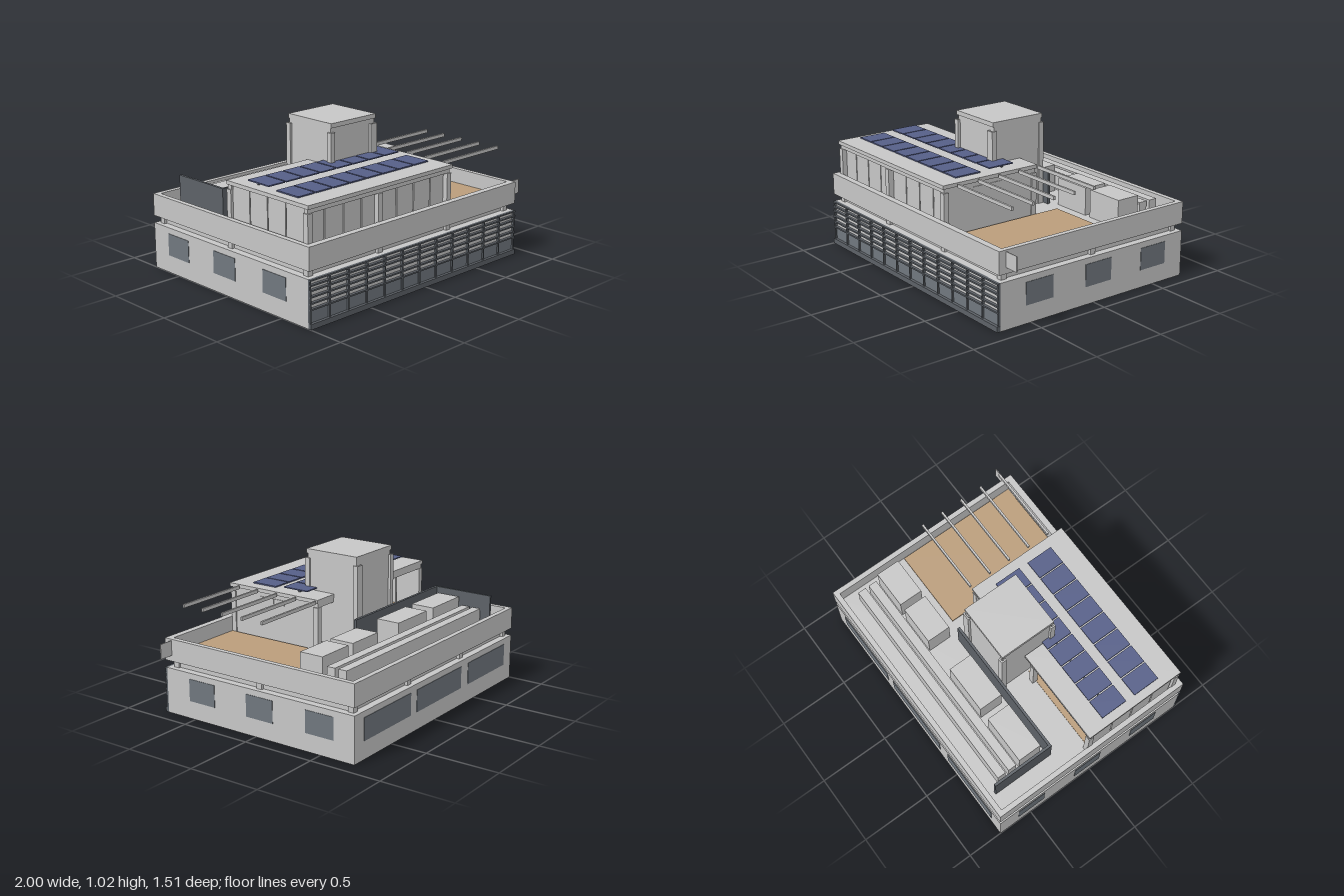
import * as THREE from 'three';

export function createModel() {
  const model = new THREE.Group();
  model.name = 'building';

  const mat = (name, color) => {
    const m = new THREE.MeshStandardMaterial({ color });
    m.name = name;
    return m;
  };
  const concrete = mat('concrete', 0xc6c6c6);
  const timber = mat('timber', 0xba9d7b);
  const solar = mat('solar blue', 0x565f88);
  const glass = mat('glass', 0x70777e);
  const metal = mat('dark metal', 0x5c6167);

  // Box given by its limits on each axis
  const box = (name, material, x0, x1, y0, y1, z0, z1) => {
    const mesh = new THREE.Mesh(new THREE.BoxGeometry(x1 - x0, y1 - y0, z1 - z0), material);
    mesh.position.set((x0 + x1) / 2, (y0 + y1) / 2, (z0 + z1) / 2);
    mesh.name = name;
    model.add(mesh);
    return mesh;
  };

  // Upright rectangular ring: outer and hole are [x0, x1, z0, z1]
  const trace = (path, [x0, x1, z0, z1]) => {
    path.moveTo(x0, -z1);
    path.lineTo(x1, -z1);
    path.lineTo(x1, -z0);
    path.lineTo(x0, -z0);
    path.closePath();
    return path;
  };
  const ring = (name, material, outer, hole, y0, y1) => {
    const shape = trace(new THREE.Shape(), outer);
    shape.holes.push(trace(new THREE.Path(), hole));
    const geo = new THREE.ExtrudeGeometry(shape, { depth: y1 - y0, bevelEnabled: false });
    geo.rotateX(-Math.PI / 2);
    const mesh = new THREE.Mesh(geo, material);
    mesh.position.y = y0;
    mesh.name = name;
    model.add(mesh);
  };

  // Ground storey, recessed slot, roof deck and parapet around the stair shaft
  const shaft = [-0.265, 0.09, -0.19, 0.165];
  ring('groundStorey', concrete, [-1, 0.9, -0.75, 0.73], shaft, 0, 0.31);
  ring('recessedSlot', concrete, [-0.95, 0.85, -0.7, 0.68], shaft, 0.31, 0.36);
  ring('roofDeck', concrete, [-0.98, 0.88, -0.73, 0.71], shaft, 0.361, 0.4);
  ring('parapet', concrete, [-1, 0.9, -0.75, 0.74], [-0.965, 0.865, -0.715, 0.695], 0.36, 0.51);
  box('parapetFin', concrete, 0.9, 1, 0.4, 0.5, 0.684, 0.69);
  for (const x of [-0.95, -0.365, 0.265, 0.845])
    for (const z of [-0.7, 0.68]) box('slotColumn', concrete, x - 0.02, x + 0.02, 0.31, 0.36, z - 0.02, z + 0.02);
  for (const x of [-0.95, 0.85]) box('slotColumn', concrete, x - 0.02, x + 0.02, 0.31, 0.36, -0.03, 0.01);

  // Side and back windows
  for (const z of [0.435, -0.033, -0.495]) {
    box('sideWindow', glass, 0.896, 0.903, 0.12, 0.27, z - 0.105, z + 0.105);
    box('sideWindow', glass, -1.003, -0.996, 0.12, 0.27, z - 0.105, z + 0.105);
  }
  for (const [x0, x1] of [[-0.9, -0.41], [-0.32, 0.22], [0.29, 0.8]])
    box('backWindow', glass, x0, x1, 0.12, 0.27, -0.753, -0.746);

  // Front screen: glazed base, sill, mullions and rails
  box('frontGlazing', glass, -0.995, 0.895, 0.035, 0.122, 0.73, 0.735);
  box('frontSill', metal, -1, 0.9, 0, 0.035, 0.73, 0.755);
  for (let i = 0; i <= 12; i++) {
    const x = -0.994 + i * 0.1573;
    box('mullion', metal, x - 0.006, x + 0.006, 0.035, 0.31, 0.73, 0.745);
  }
  for (const y of [0.122, 0.16, 0.2, 0.24, 0.272, 0.305])
    box('frontRail', metal, -1, 0.9, y - 0.005, y + 0.005, 0.73, 0.75);

  // Hollow stair tower with corner piers and cap
  ring('tower', concrete, [-0.285, 0.107, -0.205, 0.18], shaft, 0.4, 0.99);
  box('towerCap', concrete, -0.29, 0.11, 0.99, 1.02, -0.21, 0.19);
  for (const [x0, x1] of [[-0.3, -0.265], [0.06, 0.115]])
    for (const [z0, z1] of [[-0.222, -0.185], [0.163, 0.2]])
      ring('towerPier', concrete, [x0, x1, z0, z1], [x0 + 0.01, x1 - 0.01, z0 + 0.01, z1 - 0.01], 0.4, 0.96);
  // Stair flights inside the shaft
  for (let i = 0; i < 8; i++) {
    const z = -0.16 + i * 0.03;
    box('stairStep', concrete, -0.075, 0.085, 0.02 + i * 0.025, 0.04 + i * 0.025, z, z + 0.035);
    box('stairStep', concrete, -0.26, -0.1, 0.42 - i * 0.025, 0.44 - i * 0.025, z, z + 0.035);
  }
  box('stairLanding', concrete, -0.26, 0.085, 0.215, 0.235, 0.08, 0.16);

  // Timber floors
  box('terraceDeck', timber, 0.29, 0.86, 0.4, 0.41, -0.2, 0.69);
  box('pavilionFloor', timber, -0.93, 0.25, 0.4, 0.406, 0.185, 0.65);
  box('pavilionFloor', timber, -0.93, -0.3, 0.4, 0.406, 0, 0.185);

  // Pavilion: front and left panels with gaps, solid right wall, open back
  const px = [-0.935, -0.803, -0.649, -0.495, -0.342, -0.188, -0.034, 0.12, 0.265];
  for (let i = 0; i < 8; i++)
    box('frontPanel', concrete, px[i] + 0.004, px[i + 1] - 0.004, 0.4, 0.69, 0.65, 0.665);
  for (let i = 0; i < 4; i++)
    box('leftPanel', concrete, -0.955, -0.94, 0.4, 0.72, 0.014 + i * 0.162, 0.168 + i * 0.162);
  box('rightWall', concrete, 0.25, 0.275, 0.4, 0.72, 0, 0.665);
  for (const [z0, z1] of [[0.25, 0.335], [0.34, 0.465]])
    box('wallVent', concrete, 0.275, 0.28, 0.653, 0.69, z0, z1);
  for (const x of [-0.95, -0.365, 0.265])
    for (const z of [-0.01, 0.68]) box('pavilionColumn', concrete, x - 0.019, x + 0.019, 0.4, 0.69, z - 0.019, z + 0.019);
  for (const z of [-0.01, 0.675]) box('roofBeam', concrete, -0.96, 0.275, 0.69, 0.72, z - 0.015, z + 0.015);
  box('pavilionRoof', concrete, -0.97, -0.29, 0.72, 0.745, -0.03, 0.705);
  box('pavilionRoof', concrete, -0.29, 0.288, 0.72, 0.745, 0.17, 0.705);
  box('pavilionRoof', concrete, 0.107, 0.288, 0.72, 0.745, -0.03, 0.17);

  // Seats at the open back
  for (let i = 0; i < 4; i++) {
    const x = -0.72 + i * 0.1;
    box('seat', concrete, x - 0.025, x + 0.025, 0.4, 0.51, 0.11, 0.17);
  }

  // Two rows of solar panels
  for (let i = 0; i < 8; i++) {
    const x = -0.915 + i * 0.1425;
    box('solarPanel', solar, x, x + 0.133, 0.748, 0.756, 0.37, 0.56);
    box('solarPanel', solar, x, x + 0.133, 0.759, 0.767, 0.11, 0.3);
  }
  box('panelRail', metal, -0.9, 0.2, 0.745, 0.759, 0.18, 0.19);

  // Pergola beams over the terrace
  for (const z of [-0.025, 0.133, 0.29, 0.45, 0.608])
    box('pergolaBeam', concrete, 0.31, 0.855, 0.722, 0.745, z - 0.007, z + 0.007);

  // Rooftop plant behind an L-shaped screen
  box('plantScreen', metal, -0.842, 0.16, 0.4, 0.62, -0.245, -0.227);
  box('plantScreen', metal, -0.842, -0.824, 0.4, 0.62, -0.67, -0.245);
  for (const [x0, x1] of [[-0.79, -0.45], [-0.37, -0.03], [0.21, 0.485], [0.53, 0.8]])
    box('plantUnit', concrete, x0, x1, 0.4, 0.587, -0.445, -0.277);
  for (const z of [-0.5, -0.585])
    box('duct', concrete, -0.79, 0.79, 0.4, 0.53, z - 0.03, z + 0.03);

  return model;
}
